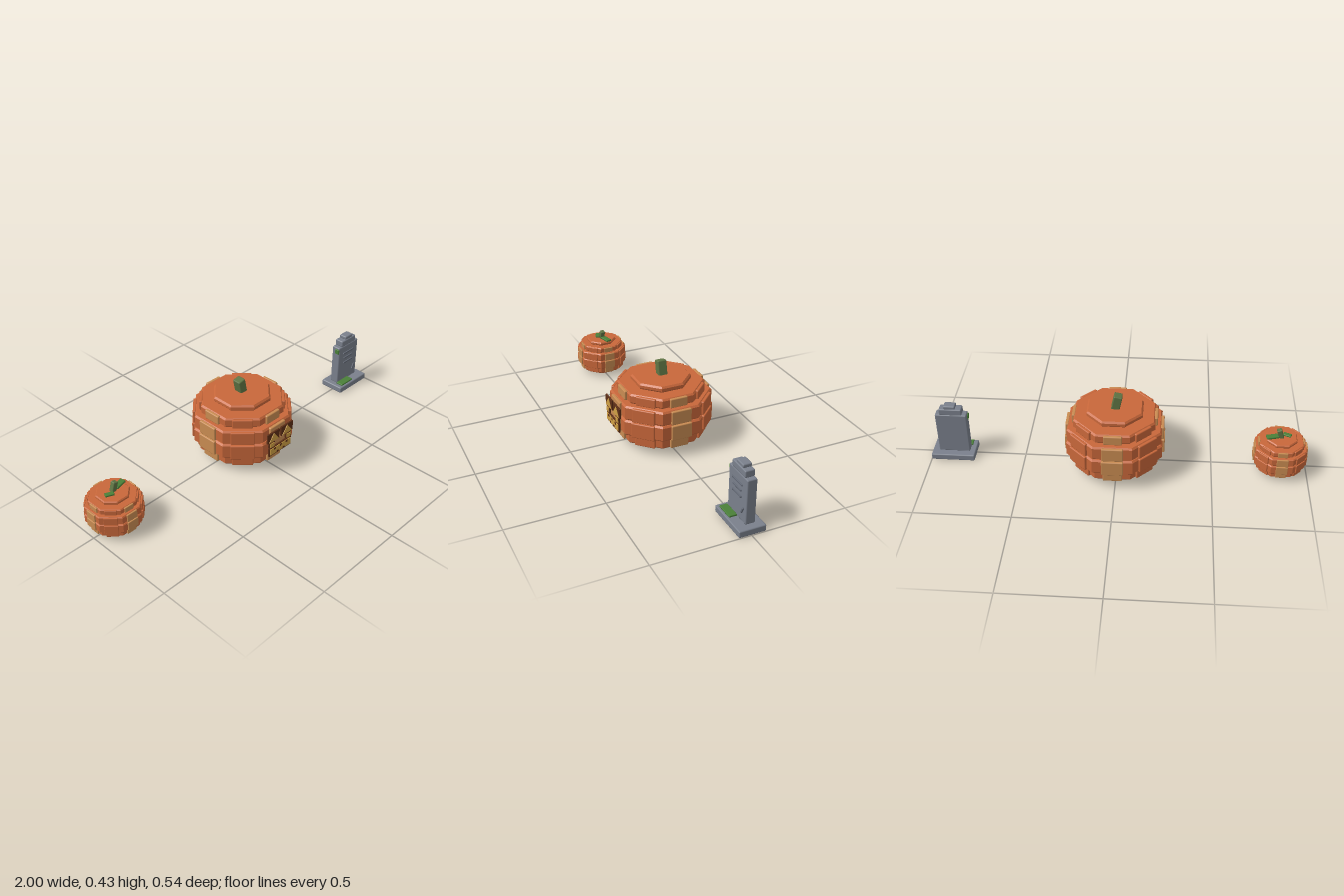
import * as THREE from 'three';
import { RoundedBoxGeometry } from 'three/addons/geometries/RoundedBoxGeometry.js';

const mat = (name, color) => {
  const m = new THREE.MeshStandardMaterial({ color });
  m.name = name;
  return m;
};

export function createModel() {
  const orange = mat('pumpkin orange', 0xc8673a);
  const tan = mat('pale rind', 0xc98c52);
  const green = mat('stem green', 0x5f7544);
  const leafGreen = mat('leaf green', 0x4a8038);
  const brown = mat('carved brown', 0x5c2e16);
  const gold = mat('glowing gold', 0xd0a044);
  const stone = mat('grey stone', 0x7a808c);
  const darkStone = mat('dark stone', 0x646a76);

  const add = (parent, name, geometry, material, x, y, z) => {
    const mesh = new THREE.Mesh(geometry, material);
    mesh.name = name;
    mesh.position.set(x, y, z);
    parent.add(mesh);
    return mesh;
  };
  // Box with softly bevelled edges
  const block = (parent, name, material, [w, h, d], [x, y, z], bevel = 0.006) =>
    add(parent, name, new RoundedBoxGeometry(w, h, d, 1, Math.min(bevel, w / 3, h / 3, d / 3)), material, x, y, z);

  // Bevelled eight-sided slab, r measured to the flat sides
  const octagon = (r, y0, y1) => {
    const R = r / Math.cos(Math.PI / 8), c = 0.009;
    const profile = [[0, y0], [R - c, y0], [R, y0 + c], [R, y1 - c], [R - c, y1], [0, y1]]
      .map(([x, y]) => new THREE.Vector2(x, y));
    const g = new THREE.LatheGeometry(profile, 8).rotateY(Math.PI / 8).toNonIndexed();
    g.computeVertexNormals();
    return g;
  };

  // Stacked slabs: radius, bottom, top, has rind plates
  const layers = [
    [0.16, 0, 0.04, false],
    [0.222, 0.04, 0.1, true],
    [0.25, 0.1, 0.187, true],
    [0.245, 0.187, 0.266, true],
    [0.211, 0.266, 0.32, true],
    [0.145, 0.32, 0.353, false],
  ];
  const pumpkin = (name) => {
    const group = new THREE.Group();
    group.name = name;
    for (const [r, y0, y1, plated] of layers) {
      add(group, 'pumpkinLayer', octagon(r, y0, y1), orange, 0, 0, 0);
      if (!plated) continue;
      // Raised rind plates on the eight sides, pale on every other one
      for (let i = 0; i < 8; i++) {
        const a = i * Math.PI / 4, d = r + 0.003, even = i % 2 === 0;
        const plate = block(group, 'rindPlate', even ? tan : orange,
          [r * (even ? 0.45 : 0.5), y1 - y0 - 0.004, 0.018],
          [Math.sin(a) * d, (y0 + y1) / 2, Math.cos(a) * d], 0.005);
        plate.rotation.y = a;
      }
    }
    return group;
  };

  const model = new THREE.Group();
  model.name = 'pumpkinsAndGravestone';

  // Large carved pumpkin
  const big = pumpkin('largePumpkin');
  big.position.set(0.013, 0, -0.007);
  block(big, 'stem', green, [0.044, 0.09, 0.05], [-0.008, 0.381, -0.006]).rotation.z = 0.2;

  // Carved face
  const face = new THREE.Group();
  face.name = 'face';
  const eye = new THREE.Shape([[-0.036, -0.023], [0.036, -0.023], [0, 0.025]]
    .map(([x, y]) => new THREE.Vector2(x, y)));
  for (const s of [-1, 1]) {
    block(face, 'eyeSocket', brown, [0.088, 0.056, 0.009], [s * 0.05, 0.222, 0.269], 0.001);
    add(face, 'eye', new THREE.ExtrudeGeometry(eye, { depth: 0.003, bevelEnabled: false }),
      gold, s * 0.05, 0.221, 0.2735);
    block(face, 'mouthCornerBack', brown, [0.04, 0.03, 0.009], [s * 0.062, 0.177, 0.269], 0.001);
    block(face, 'mouthCorner', gold, [0.03, 0.024, 0.004], [s * 0.062, 0.176, 0.275], 0.001);
  }
  block(face, 'mouthBack', brown, [0.164, 0.05, 0.009], [0, 0.133, 0.269], 0.001);
  block(face, 'mouth', gold, [0.152, 0.038, 0.004], [0, 0.134, 0.275], 0.001);
  for (const [x, y] of [[-0.045, 0.147], [0, 0.147], [0.045, 0.147], [-0.023, 0.12], [0.023, 0.12]])
    block(face, 'tooth', brown, [0.014, 0.012, 0.003], [x, y, 0.277], 0.001);
  big.add(face);
  model.add(big);

  // Small plain pumpkin
  const small = pumpkin('smallPumpkin');
  small.scale.set(0.54, 0.565, 0.54);
  small.position.set(-0.857, 0, -0.01);
  model.add(small);
  const stalk = block(model, 'smallStem', green, [0.026, 0.056, 0.026], [-0.847, 0.219, -0.012], 0.004);
  stalk.rotation.z = -0.3;
  block(model, 'leaf', leafGreen, [0.065, 0.012, 0.032], [-0.807, 0.206, -0.022], 0.004).rotation.y = 0.25;
  block(model, 'leaf', leafGreen, [0.045, 0.01, 0.024], [-0.885, 0.203, 0.002], 0.003).rotation.y = -0.4;

  // Gravestone
  const grave = new THREE.Group();
  grave.name = 'gravestone';
  grave.position.set(0.881, 0, -0.012);
  block(grave, 'base', stone, [0.232, 0.035, 0.14], [0.002, 0.0175, 0.006]);
  block(grave, 'slab', stone, [0.167, 0.236, 0.051], [-0.002, 0.152, 0]);
  block(grave, 'lowerCap', stone, [0.12, 0.037, 0.051], [-0.002, 0.287, 0]);
  block(grave, 'upperCap', stone, [0.062, 0.02, 0.046], [0.001, 0.314, 0]);
  // Inscription bars and a crack
  [[0.09, 0.222], [0.075, 0.19], [0.08, 0.158]].forEach(([w, y]) =>
    block(grave, 'inscriptionBar', darkStone, [w, 0.01, 0.008], [-0.005, y, 0.027], 0.002));
  block(grave, 'crack', darkStone, [0.009, 0.04, 0.008], [0.05, 0.097, 0.027], 0.002).rotation.z = -0.45;
  // Moss
  block(grave, 'baseMoss', leafGreen, [0.095, 0.01, 0.042], [-0.043, 0.04, 0.045], 0.003);
  block(grave, 'sideMoss', leafGreen, [0.01, 0.03, 0.026], [-0.086, 0.245, 0.01], 0.003);
  model.add(grave);

  return model;
}
